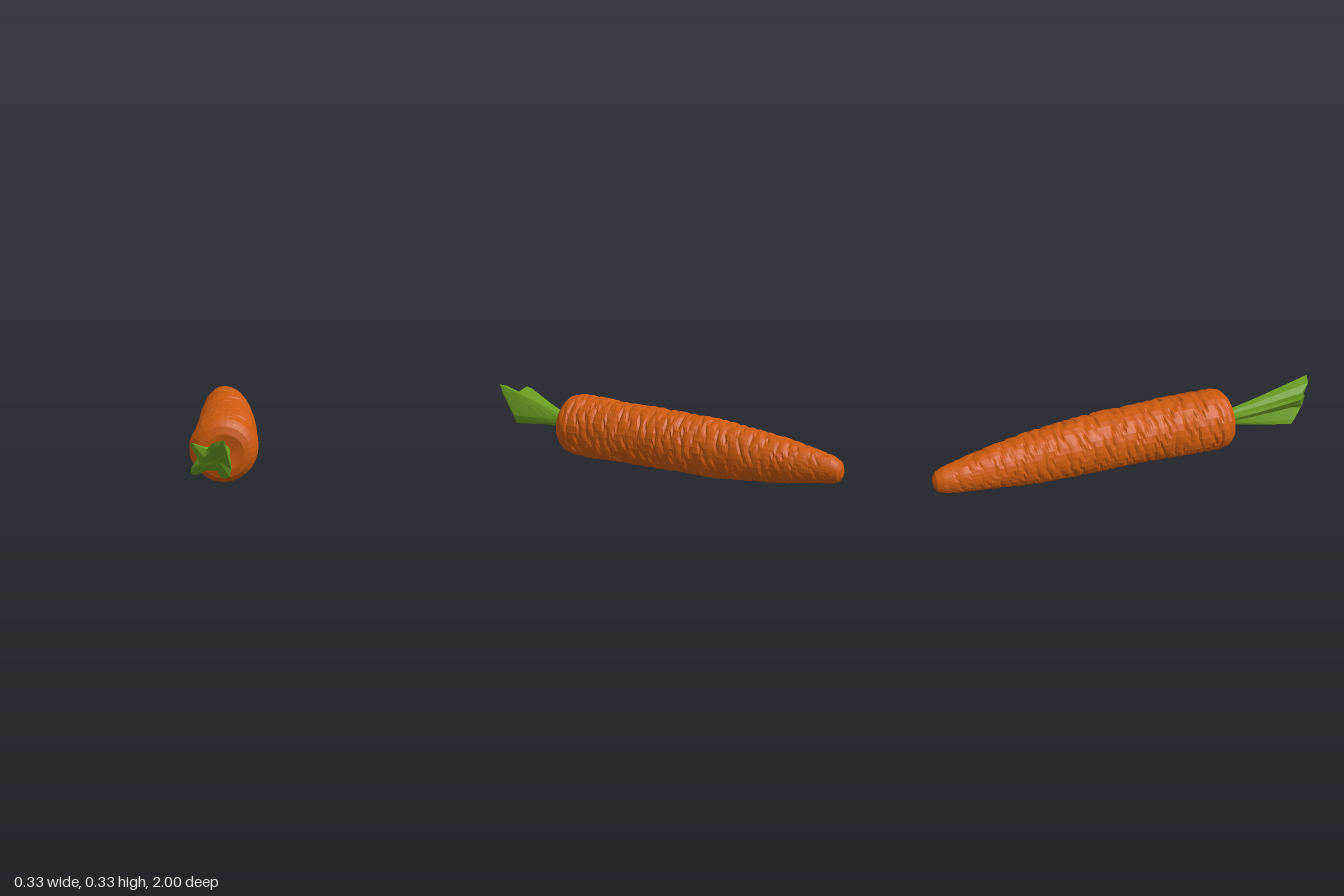
import * as THREE from 'three';

// Skin a list of rings (front to back, counter-clockwise seen from +z), closing both ends with fans.
function loft(rings, frontCentre, backCentre) {
  const n = rings[0].length, last = (rings.length - 1) * n;
  const points = [...rings.flat(), frontCentre, backCentre];
  const index = [];
  for (let j = 0; j < n; j++) {
    const k = (j + 1) % n;
    for (let i = 0; i < rings.length - 1; i++) {
      const a = i * n + j, b = i * n + k;
      index.push(a, a + n, b, b, a + n, b + n);
    }
    index.push(points.length - 2, j, k);
    index.push(points.length - 1, last + k, last + j);
  }
  const geometry = new THREE.BufferGeometry().setFromPoints(points);
  geometry.setIndex(index);
  const flat = geometry.toNonIndexed(); // one normal per facet
  flat.computeVertexNormals();
  return flat;
}

// Root outline: z, left edge, right edge, bottom, top
const PROFILE = [
  [0.555, -0.09, 0.09, 0.08, 0.25],
  [0.545, -0.125, 0.12, 0.045, 0.285],
  [0.52, -0.15, 0.145, 0.02, 0.315],
  [0.47, -0.162, 0.158, 0.008, 0.328],
  [0.35, -0.151, 0.16, 0.008, 0.327],
  [0.15, -0.137, 0.16, 0.014, 0.32],
  [-0.1, -0.129, 0.155, 0.015, 0.317],
  [-0.3, -0.122, 0.146, 0.013, 0.308],
  [-0.5, -0.112, 0.128, 0.022, 0.289],
  [-0.7, -0.096, 0.105, 0.042, 0.26],
  [-0.85, -0.08, 0.074, 0.062, 0.229],
  [-0.95, -0.062, 0.054, 0.074, 0.205],
  [-0.985, -0.046, 0.042, 0.088, 0.185],
  [-0.998, -0.025, 0.025, 0.11, 0.16],
];

function outlineAt(z) {
  let i = 0;
  while (i < PROFILE.length - 2 && z < PROFILE[i + 1][0]) i++;
  const a = PROFILE[i], b = PROFILE[i + 1];
  const t = (z - a[0]) / (b[0] - a[0]);
  return a.map((v, k) => v + (b[k] - v) * t);
}

function rootGeometry() {
  const sides = 30, pitch = 0.056, rings = [];
  const levels = [0.555, 0.545, 0.53];
  for (let z = 0.515; z > -0.975; z -= pitch / 5) levels.push(z);
  levels.push(-0.985, -0.998);
  for (const z of levels) {
    const [, x0, x1, y0, y1] = outlineAt(z);
    const ring = [];
    for (let j = 0; j < sides; j++) {
      const a = (j / sides) * Math.PI * 2;
      // Growth rings: rounded bulges with sharp creases that wander around the root
      const wander = 0.22 * Math.sin(2 * a + z * 9) + 0.2 * Math.sin(5 * a - z * 14) + 0.12 * Math.sin(9 * a + z * 31);
      const phase = z / pitch + wander;
      const bulge = Math.abs(Math.sin(phase * Math.PI));
      const depth = 0.035 + 0.03 * Math.sin(3 * a + Math.floor(phase) * 2.4);
      const fade = THREE.MathUtils.smoothstep(0.54 - z, 0, 0.08) * THREE.MathUtils.smoothstep(z + 0.99, 0, 0.1);
      const lump = 0.012 * Math.sin(4 * a + z * 17) * fade;
      const seam = 0.015 * Math.exp(-(((a - Math.PI / 2) / 0.1) ** 2)) * fade;
      const s = 1.015 + lump - seam - depth * 1.5 * (1 - bulge) * fade;
      ring.push(new THREE.Vector3(
        (x0 + x1) / 2 + Math.cos(a) * s * (x1 - x0) / 2,
        Math.max(0, (y0 + y1) / 2 + Math.sin(a) * s * (y1 - y0) / 2),
        z));
    }
    rings.push(ring);
  }
  return loft(rings, new THREE.Vector3(0, 0.165, 0.54), new THREE.Vector3(0, 0.135, -1));
}

// Lobed rim of the flared leaf end, starting at the top tip
const RIM = [
  [0, 0.322, 1], [-0.05, 0.305, 0.985], [-0.075, 0.267, 0.94], [-0.14, 0.293, 0.92],
  [-0.15, 0.28, 0.89], [-0.115, 0.22, 0.87], [-0.145, 0.165, 0.87], [-0.147, 0.14, 0.85],
  [-0.125, 0.13, 0.85], [-0.08, 0.158, 0.86], [-0.03, 0.158, 0.87], [-0.02, 0.13, 0.86],
  [0, 0.12, 0.87], [0.025, 0.13, 0.87], [0.032, 0.17, 0.88], [0.012, 0.27, 0.96],
];
// Edge of the slanted end face, set inside the rim
const FACE = [
  [-0.005, 0.316, 1], [-0.03, 0.285, 0.985], [-0.065, 0.255, 0.955], [-0.085, 0.235, 0.945],
  [-0.1, 0.22, 0.935], [-0.105, 0.205, 0.925], [-0.105, 0.195, 0.92], [-0.1, 0.185, 0.915],
  [-0.09, 0.172, 0.905], [-0.075, 0.165, 0.895], [-0.03, 0.16, 0.89], [-0.015, 0.14, 0.88],
  [0, 0.125, 0.875], [0.02, 0.135, 0.88], [0.03, 0.17, 0.89], [0.008, 0.27, 0.97],
];

function leafGeometry() {
  const toVector = (p) => new THREE.Vector3(...p);
  const rings = [FACE.map(toVector)];
  for (const t of [1, 0.85, 0.68, 0.5, 0.33, 0.15, 0]) {
    rings.push(RIM.map(([x, y, z], j) => {
      const a = Math.PI / 2 + (j / RIM.length) * Math.PI * 2;
      return new THREE.Vector3(
        THREE.MathUtils.lerp(Math.cos(a) * 0.03, x, t ** 0.9),
        THREE.MathUtils.lerp(0.163 + Math.sin(a) * 0.034, y, t ** 1.1),
        THREE.MathUtils.lerp(0.52, z, t));
    }));
  }
  return loft(rings, new THREE.Vector3(-0.025, 0.21, 0.92), new THREE.Vector3(0, 0.163, 0.52));
}

export function createModel() {
  const orange = new THREE.MeshStandardMaterial({ color: 0xcc590e });
  orange.name = 'carrot orange';
  const green = new THREE.MeshStandardMaterial({ color: 0x6a9c22 });
  green.name = 'leaf green';

  const model = new THREE.Group();
  model.name = 'carrot';
  const root = new THREE.Mesh(rootGeometry(), orange);
  root.name = 'root';
  const leaf = new THREE.Mesh(leafGeometry(), green);
  leaf.name = 'leafStem';
  model.add(root, leaf);
  return model;
}
